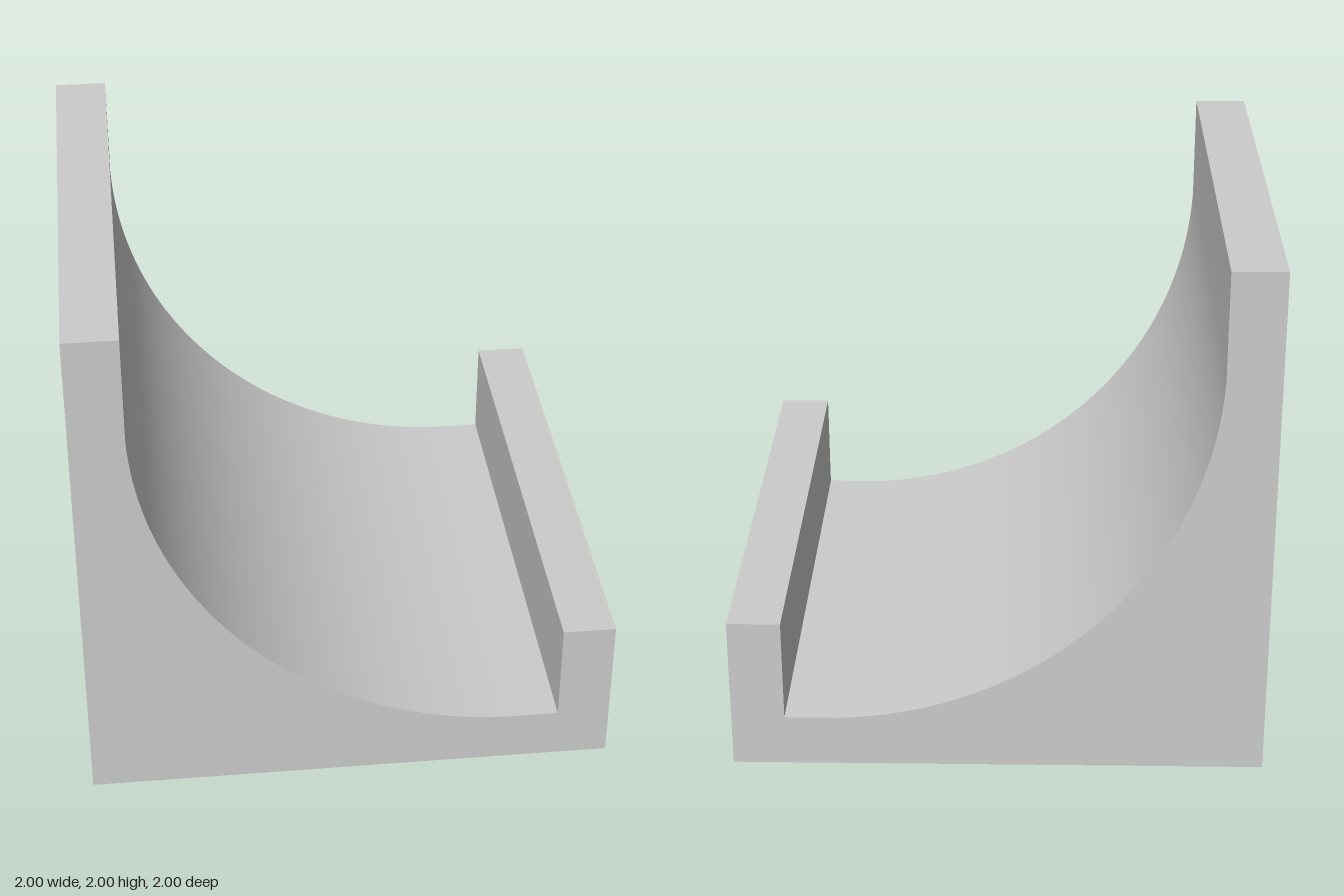
import * as THREE from 'three';
import { toCreasedNormals } from 'three/addons/utils/BufferGeometryUtils.js';

export function createModel() {
  const group = new THREE.Group();
  group.name = 'curvedRamp';

  // Side profile: tall wall, concave sweep, short flat, low lip
  const centre = 0.649, centreY = 1.649, radius = 1.45;
  const tilt = Math.asin((centreY - 1.6) / radius);
  const profile = new THREE.Shape();
  profile.moveTo(-1, 0);
  profile.lineTo(-1, 2);
  profile.lineTo(-0.8, 2);
  profile.lineTo(-0.8, 1.6);
  profile.absarc(centre, centreY, radius, Math.PI + tilt, 1.5 * Math.PI - tilt, false);
  profile.lineTo(0.8, 0.2);
  profile.lineTo(0.8, 0.6);
  profile.lineTo(1, 0.6);
  profile.lineTo(1, 0);
  profile.closePath();

  // Extruded along z, smooth sweep with sharp corners
  const solid = new THREE.ExtrudeGeometry(profile, { depth: 2, bevelEnabled: false, curveSegments: 48 });
  solid.translate(0, 0, -1);
  const ramp = new THREE.Mesh(
    toCreasedNormals(solid, Math.PI / 6),
    new THREE.MeshStandardMaterial({ color: 0xcccccc })
  );
  ramp.name = 'rampBody';
  group.add(ramp);
  return group;
}
